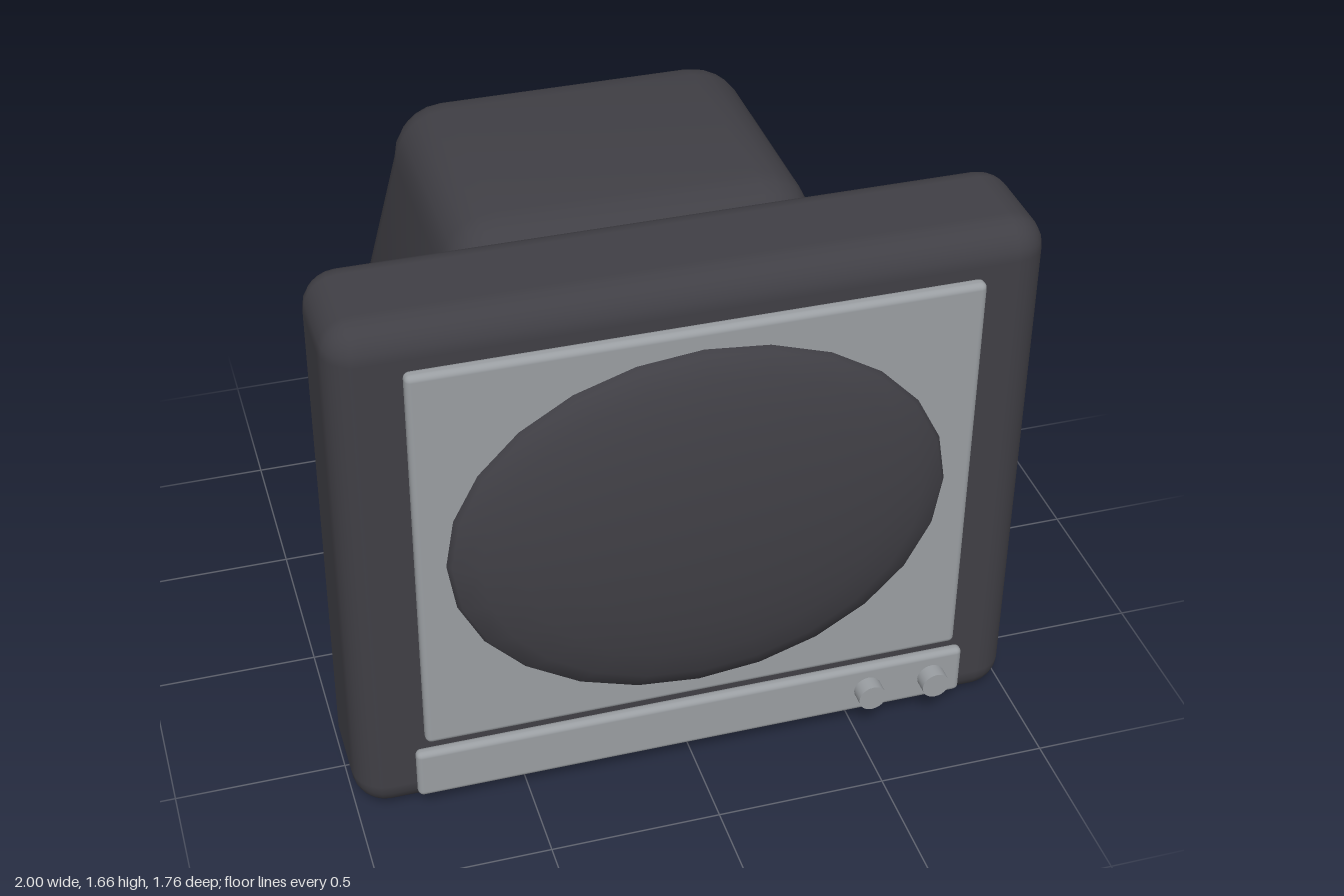
import * as THREE from 'three';
import { toCreasedNormals } from 'three/addons/utils/BufferGeometryUtils.js';
import { RoundedBoxGeometry } from 'three/addons/geometries/RoundedBoxGeometry.js';

const darkPlastic = new THREE.MeshStandardMaterial({ color: 0x403f45 });
darkPlastic.name = 'darkPlastic';
const greyTrim = new THREE.MeshStandardMaterial({ color: 0x9a9ea2 });
greyTrim.name = 'greyTrim';

function addPart(group, name, geometry, material, x, y, z) {
  const mesh = new THREE.Mesh(geometry, material);
  mesh.name = name;
  mesh.position.set(x, y, z);
  group.add(mesh);
  return mesh;
}

// Rounded box whose sides lean inward with height, keeping the bevel radius constant
function taperedBox(w, h, d, radius, insetX, insetZ) {
  const geometry = new RoundedBoxGeometry(w, h, d, 3, radius);
  const p = geometry.attributes.position;
  const core = h / 2 - radius;
  for (let i = 0; i < p.count; i++) {
    const t = THREE.MathUtils.clamp((p.getY(i) + core) / (2 * core), 0, 1);
    p.setX(i, p.getX(i) - Math.sign(p.getX(i)) * insetX * t);
    p.setZ(i, p.getZ(i) - Math.sign(p.getZ(i)) * insetZ * t);
  }
  return toCreasedNormals(geometry, 0.8);
}

export function createModel() {
  const tv = new THREE.Group();
  tv.name = 'television';

  // Front cabinet and the tapered tube housing behind it
  addPart(tv, 'cabinet', new RoundedBoxGeometry(2, 1.665, 0.395, 3, 0.1), darkPlastic, 0, 0.8325, 0.5325);
  addPart(tv, 'rearHousing', taperedBox(1.6, 1.465, 1.215, 0.165, 0.25, 0.142), darkPlastic, 0, 0.8025, -0.2725);

  // Grey plates on the front
  addPart(tv, 'screenSurround', new RoundedBoxGeometry(1.6, 1.265, 0.044, 3, 0.018), greyTrim, 0, 0.9025, 0.745);
  addPart(tv, 'controlPanel', new RoundedBoxGeometry(1.66, 0.162, 0.038, 3, 0.017), greyTrim, 0, 0.154, 0.748);

  // Bulging oval screen
  const dome = new THREE.SphereGeometry(1, 24, 12);
  dome.rotateX(Math.PI / 2);
  const screen = addPart(tv, 'screen', dome, darkPlastic, 0, 0.902, 0.75);
  screen.scale.set(0.73, 0.583, 0.13);

  // Control knobs
  const knob = new THREE.CylinderGeometry(0.042, 0.042, 0.055, 24);
  knob.rotateX(Math.PI / 2);
  [0.533, 0.733].forEach((x, i) => addPart(tv, 'knob' + (i + 1), knob, greyTrim, x, 0.153, 0.785));

  return tv;
}
